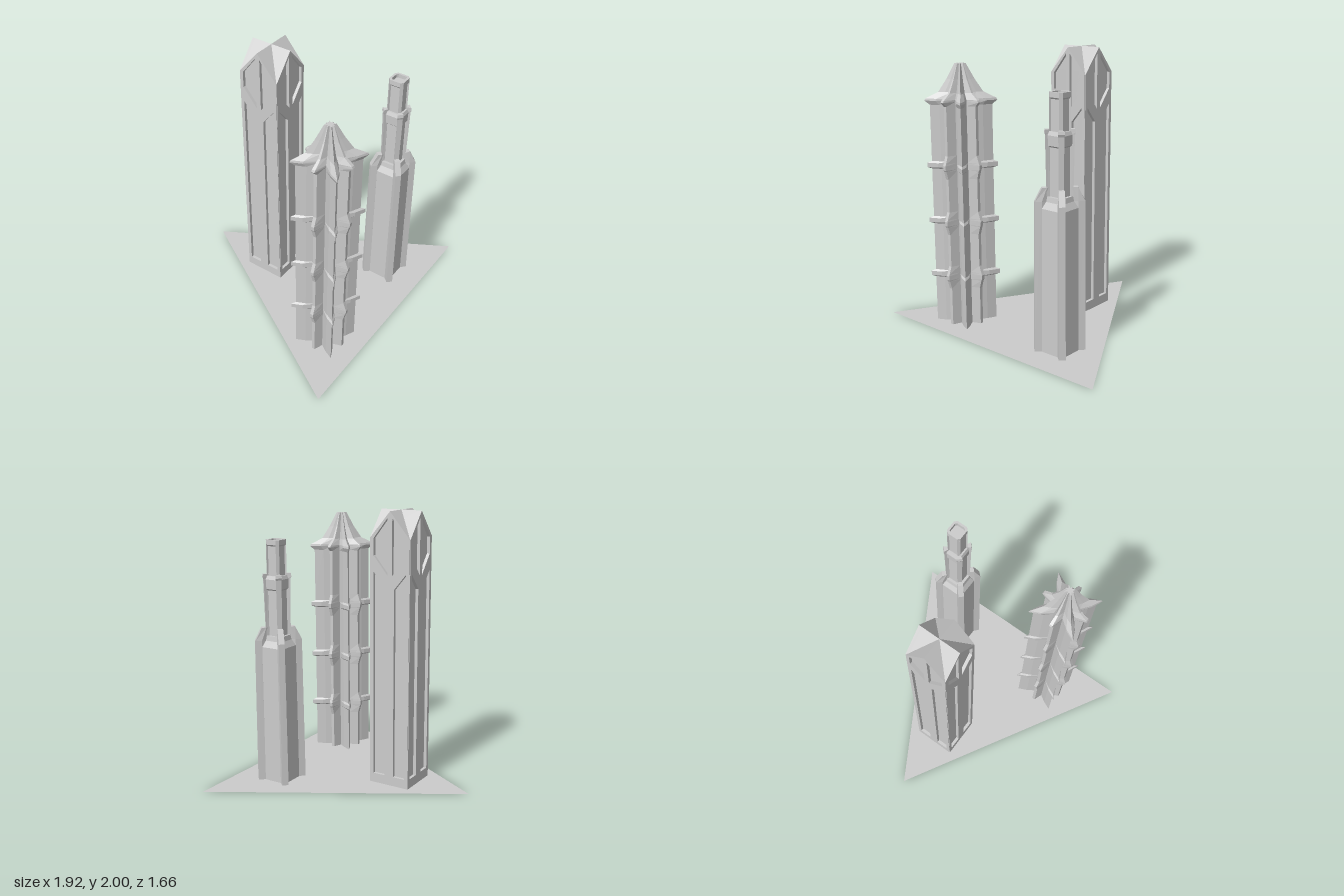
import * as THREE from 'three';

const material = new THREE.MeshStandardMaterial({ color: 0xcccccc, flatShading: true });

function addMesh(parent, name, geometry, mat = material) {
  const mesh = new THREE.Mesh(geometry, mat);
  mesh.name = name;
  parent.add(mesh);
  return mesh;
}

// Repeats one quadrant of plan points [x, -z] four times around the axis
function fourfold(quadrant) {
  const ring = [];
  for (let k = 0, q = quadrant; k < 4; k++) {
    ring.push(...q);
    q = q.map(([x, w]) => [-w, x]);
  }
  return ring;
}

// Skins a stack of [y, ring] sections, closed at both ends
function loft(levels) {
  const pos = [];
  const put = (y, [x, w]) => pos.push(x, y, -w);
  for (let i = 0; i < levels.length - 1; i++) {
    const [y0, r0] = levels[i], [y1, r1] = levels[i + 1];
    for (let j = 0; j < r0.length; j++) {
      const n = (j + 1) % r0.length;
      put(y0, r0[j]); put(y0, r0[n]); put(y1, r1[n]);
      put(y0, r0[j]); put(y1, r1[n]); put(y1, r1[j]);
    }
  }
  const cap = ([y, ring], flip) => {
    const pts = ring.map(([x, w]) => new THREE.Vector2(x, w));
    for (const f of THREE.ShapeUtils.triangulateShape(pts, [])) {
      (flip ? [f[2], f[1], f[0]] : f).forEach((i) => put(y, ring[i]));
    }
  };
  cap(levels[0], true);
  cap(levels[levels.length - 1], false);
  const geo = new THREE.BufferGeometry();
  geo.setAttribute('position', new THREE.Float32BufferAttribute(pos, 3));
  geo.computeVertexNormals();
  return geo;
}

const polygon = (pts, Type = THREE.Shape) => new Type(pts.map(([x, y]) => new THREE.Vector2(x, y)));

// Star plan: four thin ribs on the axes and four petals on the diagonals
function star(petal, rib, all = 1) {
  const p = petal * all, n = 0.09 * all, m = 0.035 * all, h = 0.012 * all;
  return fourfold([
    [rib, -h], [rib, h], [n, m],
    [0.125 * p, 0.09 * p], [0.155 * p, 0.155 * p], [0.09 * p, 0.125 * p], [m, n],
  ]);
}

function starTower() {
  const group = new THREE.Group();
  group.name = 'starTower';
  const levels = [[0, star(1, 0.155)]];
  // Collars round the petals, with the ribs swelling beside them
  for (const h of [0.37, 0.78, 1.19]) {
    for (const [dy, petal, rib] of [
      [-0.09, 1, 0.155], [-0.03, 1, 0.172], [-0.02, 1.15, 0.178],
      [0.012, 1.15, 0.18], [0.025, 1, 0.175], [0.08, 1, 0.155],
    ]) levels.push([h + dy, star(petal, rib)]);
  }
  levels.push([1.62, star(1, 0.155)]);
  addMesh(group, 'ribbedShaft', loft(levels));
  // Flared eaves and concave spire
  addMesh(group, 'spireRoof', loft([
    [1.62, star(1, 0.155)],
    [1.65, star(1.17, 0.182)],
    [1.665, star(1.13, 0.175)],
    [1.71, star(1, 0.115, 0.72)],
    [1.80, star(1, 0.07, 0.45)],
    [1.91, star(1, 0.03, 0.18)],
  ]));
  return group;
}

function gableTower() {
  const group = new THREE.Group();
  group.name = 'gableTower';
  const half = 0.16, inner = 0.137, slope = 0.19 / 0.16;
  const gable = (w) => polygon([[-w, 0], [w, 0], [w, 2 - slope * w], [0, 2], [-w, 2 - slope * w]]);

  // Two crossing gabled prisms form the core and the roof
  for (let k = 0; k < 2; k++) {
    const geo = new THREE.ExtrudeGeometry(gable(inner), { depth: inner * 2, bevelEnabled: false });
    geo.translate(0, 0, -inner);
    addMesh(group, 'gabledCore', geo).rotation.y = k * Math.PI / 2;
  }

  // Front frame with a split diamond window over two tall panels
  const frame = gable(0.156);
  for (const s of [1, -1]) {
    frame.holes.push(
      polygon([[0.018, 1.955], [0.13, 1.81], [0.13, 1.69], [0.018, 1.555]].map(([x, y]) => [s * x, y]), THREE.Path),
      polygon([[0.036, 0.07], [0.13, 0.07], [0.13, 1.575], [0.036, 1.46]].map(([x, y]) => [s * x, y]), THREE.Path),
    );
  }
  const frameGeo = new THREE.ExtrudeGeometry(frame, { depth: half - inner, bevelEnabled: false });
  frameGeo.translate(0, 0, inner);
  for (let k = 0; k < 4; k++) addMesh(group, 'wallFrame', frameGeo).rotation.y = k * Math.PI / 2;
  return group;
}

// Square plan with cut corners: half width c, half face length a
const cutSquare = (c, a) => fourfold([[c, a], [a, c]]);
// Diagonal post: its root meets the wall at (c, a), its outer face spans (q, p) to (p, q)
const post = (c, a, q, p) => [[a * 0.6, a * 0.6], [c, a], [q, p], [p, q], [a, c]];

function steppedTower() {
  const group = new THREE.Group();
  group.name = 'steppedTower';
  addMesh(group, 'lowerCore', loft([
    [0, cutSquare(0.108, 0.07)], [1.02, cutSquare(0.104, 0.068)],
    [1.065, cutSquare(0.08, 0.05)], [1.1, cutSquare(0.075, 0.045)],
  ]));
  addMesh(group, 'middleCore', loft([
    [1.08, cutSquare(0.055, 0.042)], [1.43, cutSquare(0.055, 0.042)],
    [1.44, cutSquare(0.066, 0.045)], [1.51, cutSquare(0.07, 0.045)], [1.535, cutSquare(0.06, 0.04)],
  ]));
  addMesh(group, 'upperCore', loft([[1.5, cutSquare(0.047, 0.035)], [1.76, cutSquare(0.047, 0.035)]]));
  // Open crown with a sunken top
  addMesh(group, 'crown', loft([
    [1.745, cutSquare(0.05, 0.037)], [1.755, cutSquare(0.058, 0.04)], [1.79, cutSquare(0.058, 0.04)],
    [1.79, cutSquare(0.042, 0.03)], [1.762, cutSquare(0.042, 0.03)],
  ]));

  const posts = {
    lowerButtress: loft([
      [0, post(0.108, 0.07, 0.141, 0.108)], [1.065, post(0.104, 0.068, 0.134, 0.104)],
      [1.16, post(0.075, 0.048, 0.1, 0.07)],
    ]),
    middlePost: loft([
      [1.08, post(0.056, 0.038, 0.074, 0.05)], [1.51, post(0.058, 0.04, 0.082, 0.054)],
      [1.525, post(0.06, 0.042, 0.088, 0.056)], [1.548, post(0.06, 0.042, 0.084, 0.054)],
    ]),
    upperPost: loft([
      [1.5, post(0.047, 0.036, 0.058, 0.041)], [1.76, post(0.047, 0.036, 0.058, 0.041)],
    ]),
  };
  for (const [name, geo] of Object.entries(posts)) {
    for (let k = 0; k < 4; k++) addMesh(group, name, geo).rotation.y = k * Math.PI / 2;
  }
  return group;
}

export function createModel() {
  const model = new THREE.Group();
  model.name = 'threeTowers';

  // Thin triangular ground plate
  const plate = material.clone();
  plate.side = THREE.DoubleSide;
  const base = new THREE.ShapeGeometry(polygon([[-0.96, -0.83], [0.96, -0.83], [0, 0.83]]));
  base.rotateX(-Math.PI / 2);
  addMesh(model, 'basePlate', base, plate);

  for (const [tower, x, z] of [
    [starTower(), -0.453, 0.54], [gableTower(), 0, -0.255], [steppedTower(), 0.433, 0.515],
  ]) {
    tower.position.set(x, 0, z);
    model.add(tower);
  }
  return model;
}
